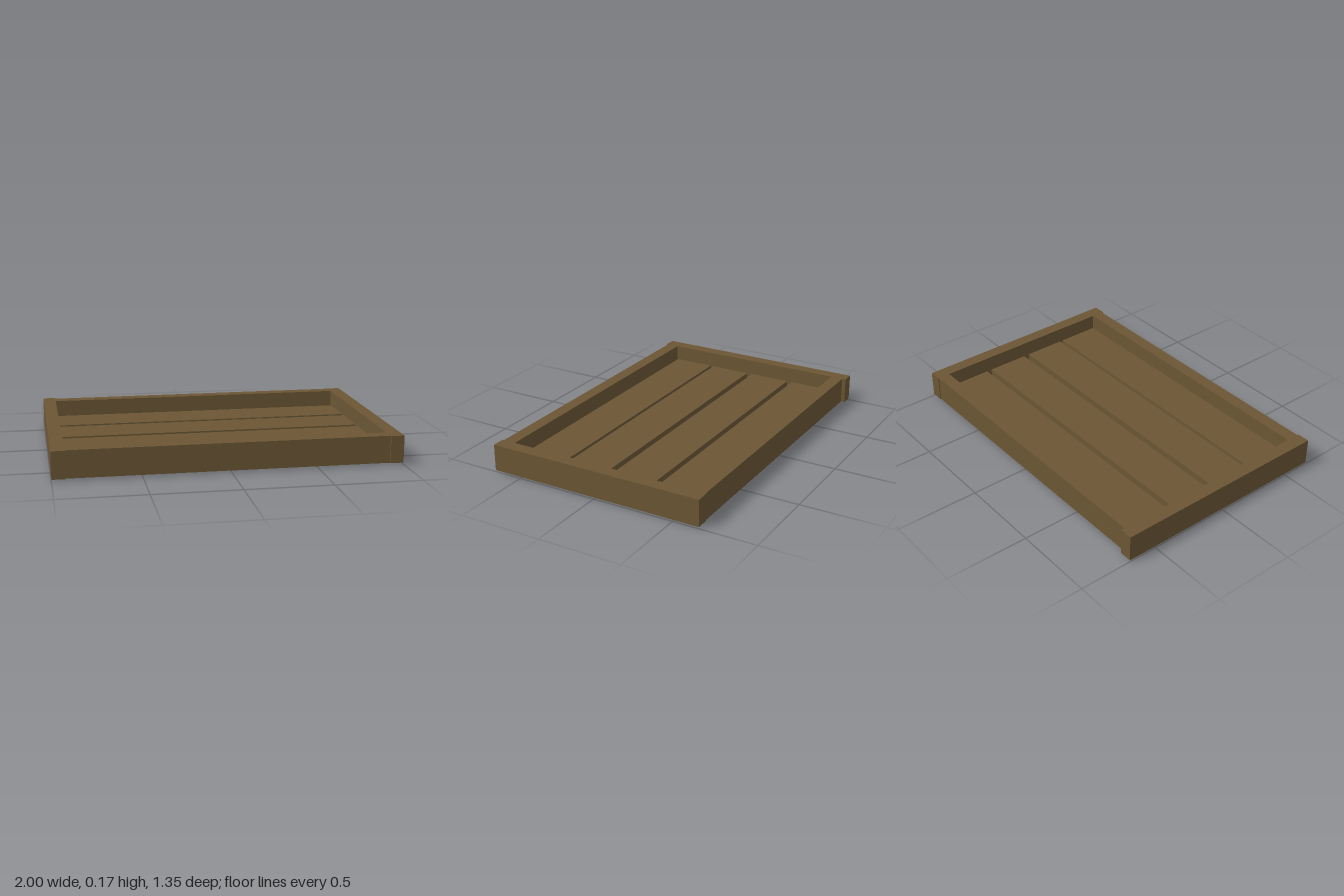
import * as THREE from 'three';

const wood = new THREE.MeshStandardMaterial({ color: 0x6b5634, side: THREE.DoubleSide });
wood.name = 'brown wood';

// Box between two corners that keeps only the listed faces
// (0 +x, 1 -x, 2 top, 3 bottom, 4 +z, 5 -z)
function shell(name, [x0, x1], [y0, y1], [z0, z1], faces) {
  const geometry = new THREE.BoxGeometry(x1 - x0, y1 - y0, z1 - z0);
  const all = Array.from(geometry.index.array);
  geometry.setIndex(faces.flatMap((f) => all.slice(f * 6, f * 6 + 6)));
  geometry.clearGroups();
  geometry.translate((x0 + x1) / 2, (y0 + y1) / 2, (z0 + z1) / 2);
  const mesh = new THREE.Mesh(geometry, wood);
  mesh.name = name;
  return mesh;
}

export function createModel() {
  const model = new THREE.Group();
  model.name = 'slattedTray';

  const inner = [-0.923, 0.922];
  const railHeight = [0.01, 0.17];
  const openBottom = [0, 1, 2, 4, 5];
  const channel = [2, 4, 5];

  // Side rails, open underneath; the right one reaches a little further back
  model.add(shell('rightRail', [-1, inner[0]], railHeight, [-0.677, 0.674], openBottom));
  model.add(shell('leftRail', [inner[1], 1], railHeight, [-0.659, 0.674], openBottom));

  // Front and back rails, channels whose ends meet the side rails
  model.add(shell('frontRail', inner, railHeight, [0.587, 0.664], channel));
  model.add(shell('backRail', inner, railHeight, [-0.654, -0.578], channel));

  // Floor slats
  const slats = new THREE.Group();
  slats.name = 'floorSlats';
  [-0.558, -0.262, 0.037, 0.32].forEach((z, i) => {
    slats.add(shell(`slat${i + 1}`, inner, [0, 0.075], [z, z + 0.262], channel));
  });
  model.add(slats);

  return model;
}
